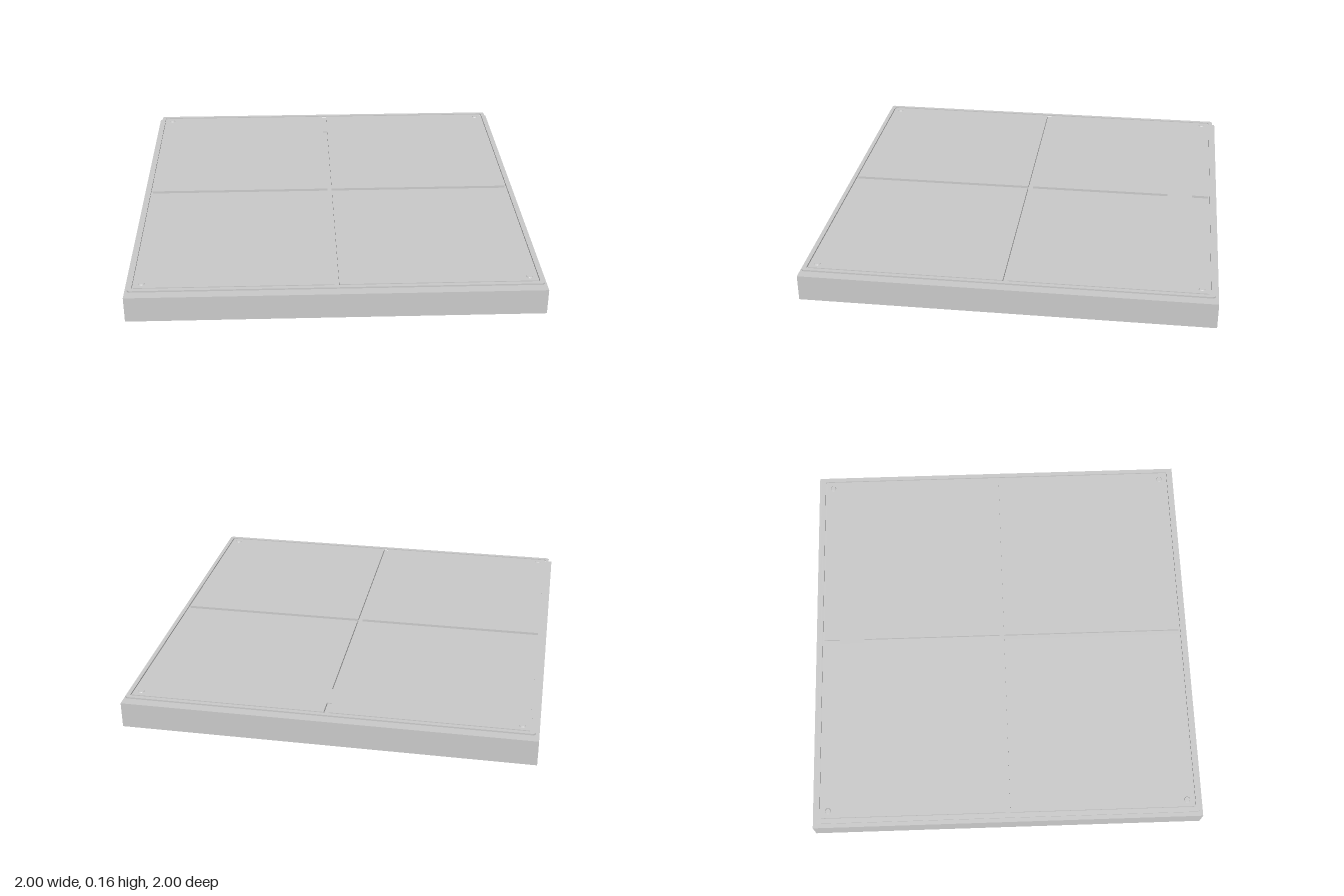
import * as THREE from 'three';

const BASE_TOP = 0.13;
const PANEL_TOP = 0.157;
const GAP = 0.012; // half width of the cross grooves
const EDGE = 0.955; // outer edge of the panels

const material = new THREE.MeshStandardMaterial({ color: 0xcccccc, flatShading: true });

function addMesh(parent, name, geometry, x = 0, y = 0, z = 0) {
  const mesh = new THREE.Mesh(geometry, material);
  mesh.name = name;
  mesh.position.set(x, y, z);
  parent.add(mesh);
  return mesh;
}

// Square slab whose lower edges taper inward
function panelGeometry(size, height, taper) {
  const geometry = new THREE.BoxGeometry(size, height, size, 1, 2, 1);
  const p = geometry.attributes.position;
  for (let i = 0; i < p.count; i++) {
    if (p.getY(i) < -height / 4) {
      p.setX(i, p.getX(i) - Math.sign(p.getX(i)) * taper);
      p.setZ(i, p.getZ(i) - Math.sign(p.getZ(i)) * taper);
    }
  }
  geometry.computeVertexNormals();
  return geometry;
}

// Square outline with small cut corners
function squarePath(path, half, cut) {
  const a = half - cut;
  path.setFromPoints([
    [-a, -half], [a, -half], [half, -a], [half, a],
    [a, half], [-a, half], [-half, a], [-half, -a],
  ].map(([x, y]) => new THREE.Vector2(x, y)));
  path.closePath();
  return path;
}

function rimGeometry(outer, inner, height) {
  const shape = squarePath(new THREE.Shape(), outer, 0.01);
  shape.holes.push(squarePath(new THREE.Path(), inner, 0.005));
  const geometry = new THREE.ExtrudeGeometry(shape, { depth: height, bevelEnabled: false });
  geometry.rotateX(-Math.PI / 2);
  return geometry;
}

export function createModel() {
  const model = new THREE.Group();
  model.name = 'floorTile';

  // Solid slab under the plates
  addMesh(model, 'base', new THREE.BoxGeometry(2, BASE_TOP, 2), 0, BASE_TOP / 2, 0);

  // Four plates with a bolt in each outer corner
  const size = EDGE - GAP;
  const height = PANEL_TOP - BASE_TOP;
  const plate = panelGeometry(size, height, 0.006);
  const bolt = new THREE.CylinderGeometry(0.013, 0.016, 0.005, 12);
  const centre = (EDGE + GAP) / 2;
  for (const sx of [-1, 1]) {
    for (const sz of [-1, 1]) {
      addMesh(model, 'panel', plate, sx * centre, BASE_TOP + height / 2, sz * centre);
      addMesh(model, 'cornerBolt', bolt, sx * 0.92, PANEL_TOP + 0.002, sz * 0.92);
    }
  }

  // Thin raised rim around the plates
  addMesh(model, 'rim', rimGeometry(0.983, 0.963, 0.008), 0, 0.15, 0);

  // Thin bridge closing a short stretch of the rear groove
  addMesh(model, 'grooveBridge', new THREE.BoxGeometry(GAP * 2, 0.005, 0.13), 0, PANEL_TOP - 0.0025, -0.805);

  return model;
}
